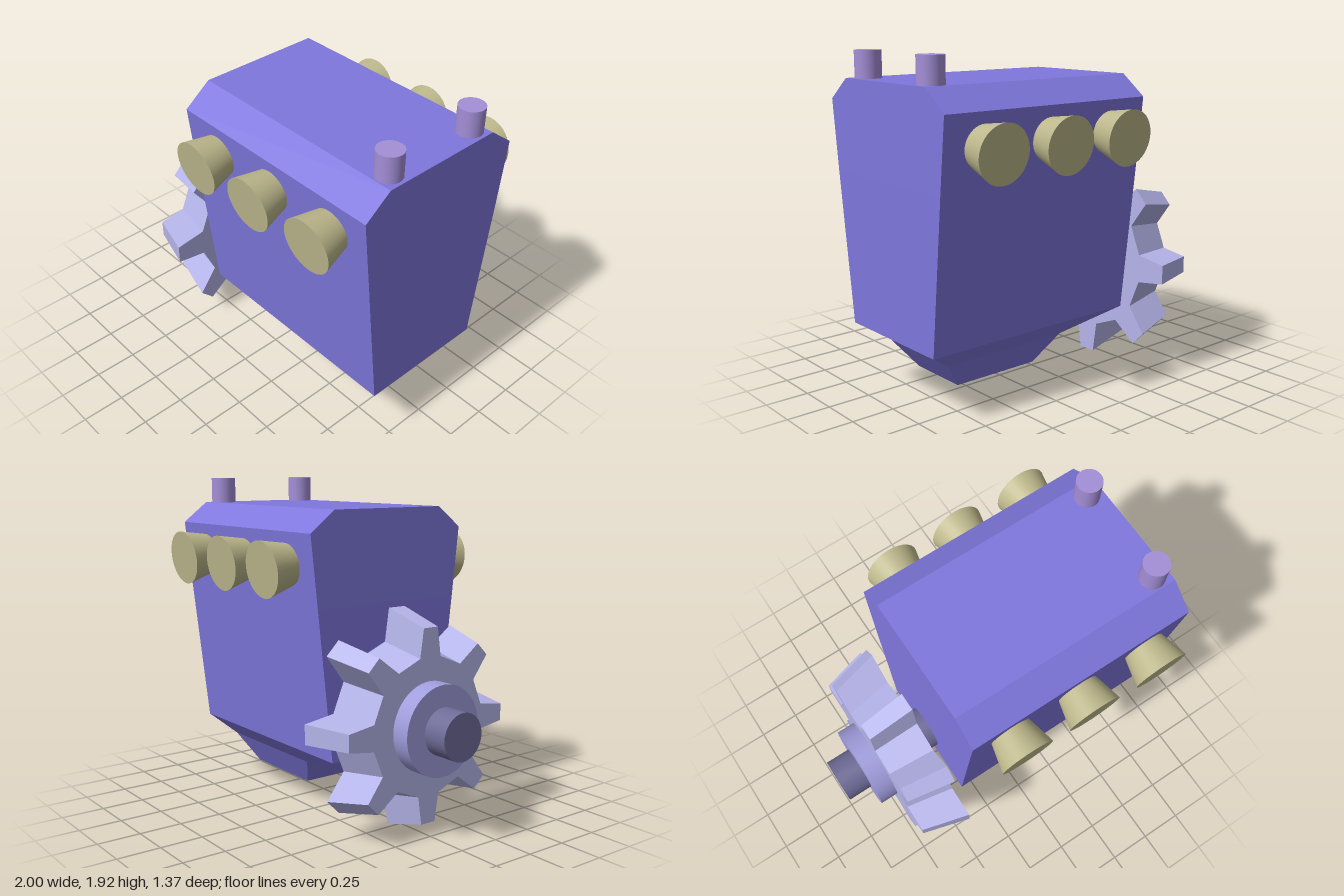
import * as THREE from 'three';

const AXLE_Y = 0.625, AXLE_Z = -0.01;

const paint = (color, flat = false) => new THREE.MeshStandardMaterial({ color, flatShading: flat });

function add(parent, name, geometry, material) {
  const mesh = new THREE.Mesh(geometry, material);
  mesh.name = name;
  parent.add(mesh);
  return mesh;
}

// Closed solid through rectangular rings [y, xMin, xMax, zHalf], listed bottom to top
function loftBox(rings) {
  const pos = [], idx = [];
  for (const [y, x0, x1, z] of rings) pos.push(x0, y, z, x1, y, z, x1, y, -z, x0, y, -z);
  for (let r = 0; r < rings.length - 1; r++) {
    for (let i = 0; i < 4; i++) {
      const a = r * 4 + i, b = r * 4 + (i + 1) % 4;
      idx.push(a, b, b + 4, a, b + 4, a + 4);
    }
  }
  const t = (rings.length - 1) * 4;
  idx.push(0, 2, 1, 0, 3, 2, t, t + 1, t + 2, t, t + 2, t + 3);
  const g = new THREE.BufferGeometry();
  g.setAttribute('position', new THREE.Float32BufferAttribute(pos, 3));
  g.setIndex(idx);
  const flat = g.toNonIndexed();
  flat.computeVertexNormals();
  return flat;
}

// Cylinder lying along x
function axleCylinder(radius, x0, x1) {
  return new THREE.CylinderGeometry(radius, radius, x1 - x0, 48)
    .rotateZ(Math.PI / 2)
    .translate((x0 + x1) / 2, AXLE_Y, AXLE_Z);
}

// Eight-toothed wheel that narrows towards its outer face
function bevelGear(x0, x1, outerScale) {
  const shape = new THREE.Shape();
  const teeth = 8;
  for (let i = 0; i < teeth; i++) {
    const a = (i / teeth) * Math.PI * 2;
    for (const [along, across] of [[0.435, -0.083], [0.62, -0.056], [0.62, 0.056], [0.435, 0.083]]) {
      const px = along * Math.cos(a) - across * Math.sin(a);
      const py = along * Math.sin(a) + across * Math.cos(a);
      if (i === 0 && across === -0.083) shape.moveTo(px, py);
      else shape.lineTo(px, py);
    }
  }
  shape.closePath();
  const g = new THREE.ExtrudeGeometry(shape, { depth: x1 - x0, bevelEnabled: false });
  const p = g.attributes.position;
  for (let i = 0; i < p.count; i++) {
    const s = THREE.MathUtils.lerp(outerScale, 1, p.getZ(i) / (x1 - x0));
    p.setXY(i, p.getX(i) * s, p.getY(i) * s);
  }
  g.rotateY(Math.PI / 2).translate(x0, AXLE_Y, AXLE_Z);
  g.computeVertexNormals();
  return g;
}

export function createModel() {
  const model = new THREE.Group();
  model.name = 'engine';
  const blockPaint = paint(0x7f77dd, true);

  // Tapered block with chamfered top edges
  add(model, 'engineBlock', loftBox([
    [0.4, -0.37, 0.99, 0.385],
    [1.26, -0.375, 0.995, 0.481],
    [1.66, -0.375, 0.995, 0.525],
    [1.78, -0.375, 0.995, 0.368],
  ]), blockPaint);

  // Oil pan below the block
  add(model, 'oilPan', loftBox([
    [0.12, 0.155, 0.695, 0.187],
    [0.29, 0.025, 0.825, 0.28],
    [0.4, -0.37, 0.99, 0.385],
  ]), blockPaint);

  // Drive shaft, collar and gear
  const drive = new THREE.Group();
  drive.name = 'drive';
  model.add(drive);
  add(drive, 'shaft', axleCylinder(0.132, -1, -0.36), paint(0x6f6c98));
  add(drive, 'collar', axleCylinder(0.253, -0.85, -0.735), paint(0xa09ddd));
  add(drive, 'gear', bevelGear(-0.74, -0.46, 0.875), paint(0xb5b4ea, true));

  // Three flared ports square to each sloping side
  const portPaint = paint(0xbdb88c);
  const tilt = Math.atan(0.11);
  for (const side of [1, -1]) {
    for (const x of [-0.125, 0.305, 0.745]) {
      const g = new THREE.CylinderGeometry(0.158, 0.11, 0.2, 40)
        .translate(0, -0.1, 0)
        .rotateX(Math.PI / 2 + tilt);
      const port = add(model, side > 0 ? 'frontPort' : 'backPort', g, portPaint);
      port.position.set(x, 1.462, side * 0.668);
      if (side < 0) port.rotation.y = Math.PI;
    }
  }

  // Two upright pipes on the top
  const pipePaint = paint(0xa48fd8);
  for (const z of [0.287, -0.293]) {
    const pipe = add(model, 'topPipe', new THREE.CylinderGeometry(0.073, 0.073, 0.17, 32), pipePaint);
    pipe.position.set(0.904, 1.845, z);
  }

  return model;
}
